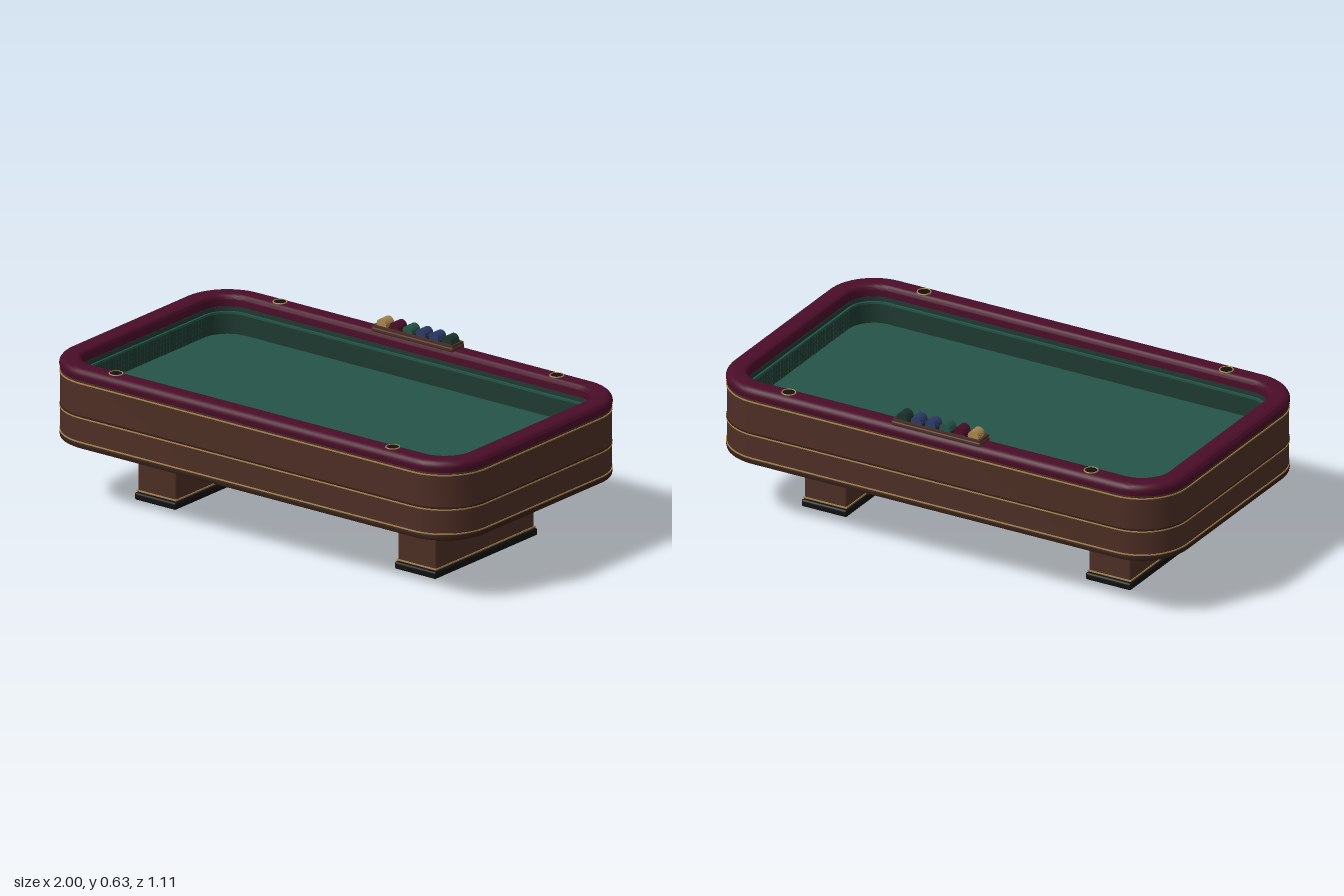
import * as THREE from 'three';
import { mergeGeometries, toCreasedNormals } from 'three/addons/utils/BufferGeometryUtils.js';
import { RoundedBoxGeometry } from 'three/addons/geometries/RoundedBoxGeometry.js';

const HX = 1, HZ = 0.556, R = 0.2, SEG = 14; // table outline: half sizes, corner radius, corner segments

const mat = (name, color) => Object.assign(new THREE.MeshStandardMaterial({ color }), { name });

// Corner points of the rounded outline, moved inwards by d
function outline(d) {
  const pts = [];
  [[1, 1], [-1, 1], [-1, -1], [1, -1]].forEach(([sx, sz], q) => {
    for (let k = 0; k <= SEG; k++) {
      const a = (q + k / SEG) * Math.PI / 2;
      pts.push([sx * (HX - R) + (R - d) * Math.cos(a), sz * (HZ - R) + (R - d) * Math.sin(a)]);
    }
  });
  return pts;
}

// Closed profile of [inset, y] points swept around the table outline
function sweep(profile) {
  const pos = [], idx = [], m = profile.length, n = 4 * (SEG + 1);
  for (const [d, y] of profile) for (const [x, z] of outline(d)) pos.push(x, y, z);
  for (let j = 0; j < m; j++) for (let i = 0; i < n; i++) {
    const j2 = (j + 1) % m, i2 = (i + 1) % n;
    const a = j * n + i, b = j2 * n + i, c = j2 * n + i2, e = j * n + i2;
    idx.push(a, b, c, a, c, e);
  }
  const g = new THREE.BufferGeometry();
  g.setAttribute('position', new THREE.Float32BufferAttribute(pos, 3));
  g.setIndex(idx);
  return toCreasedNormals(g, 0.7);
}

const band = (d0, d1, y0, y1) => sweep([[d0, y0], [d0, y1], [d1, y1], [d1, y0]]);

// Rows of small pyramids on the inner wall, pointing into the table
function pyramids(d, y0, rows, step) {
  const list = [], pts = outline(d), n = pts.length;
  for (let i = 0; i < n; i++) {
    const [x0, z0] = pts[i], [x1, z1] = pts[(i + 1) % n];
    const len = Math.hypot(x1 - x0, z1 - z0);
    if (len < 1e-6 || (len < step && i % 2)) continue;
    const count = Math.max(1, Math.round(len / step));
    const inward = Math.atan2(-(z1 - z0), x1 - x0) + Math.PI; // turns +z towards the middle
    for (let k = 0; k < count; k++) for (let r = 0; r < rows; r++) {
      const t = (k + 0.5) / count;
      const g = new THREE.ConeGeometry(step * 0.7, 0.012, 4, 1, true).toNonIndexed();
      g.rotateY(Math.PI / 4).rotateX(Math.PI / 2).rotateY(inward);
      g.translate(x0 + (x1 - x0) * t, y0 + r * step, z0 + (z1 - z0) * t);
      g.computeVertexNormals();
      list.push(g);
    }
  }
  return mergeGeometries(list);
}

export function createModel() {
  const root = new THREE.Group();
  root.name = 'gamingTable';
  const wood = mat('walnut', 0x4d2e24), darkWood = mat('dark walnut', 0x341d16);
  const leather = mat('burgundy leather', 0x4a0d28), felt = mat('green felt', 0x255449);
  const rubber = mat('dark green rubber', 0x1e3a31), gold = mat('brass', 0xa8874e);
  const black = mat('black', 0x121010), blue = mat('blue', 0x2c3a66), pine = mat('pine green', 0x1b332c);

  const add = (name, geo, material, x = 0, y = 0, z = 0, parent = root) => {
    const m = new THREE.Mesh(geo, material);
    m.name = name;
    m.position.set(x, y, z);
    parent.add(m);
    return m;
  };

  // Wooden body
  add('apron', band(0.004, 0.078, 0.275, 0.53), wood);
  add('bottomMoulding', sweep([[0.012, 0.255], [0.003, 0.26], [0.001, 0.27], [0.004, 0.28], [0.082, 0.28], [0.082, 0.255]]), darkWood);
  add('middleGroove', band(0.0025, 0.02, 0.384, 0.391), darkWood);
  for (const y of [0.283, 0.381, 0.52]) add('brassLine', band(0.001, 0.02, y - 0.0025, y + 0.0025), gold);

  // Padded rail with rounded edges
  const rail = [[0.006, 0.522]];
  for (let k = 0; k <= 6; k++) {
    const a = k / 6 * Math.PI / 2;
    rail.push([0.026 * (1 - Math.cos(a)), 0.549 + 0.027 * Math.sin(a)]);
  }
  for (let k = 0; k <= 6; k++) {
    const a = k / 6 * Math.PI / 2;
    rail.push([0.066 + 0.02 * Math.sin(a), 0.556 + 0.02 * Math.cos(a)]);
  }
  rail.push([0.086, 0.522]);
  add('rail', sweep(rail), leather);

  // Inner wall with bumper pyramids
  add('innerWall', band(0.07, 0.088, 0.4, 0.53), rubber);
  add('wallLedge', band(0.08, 0.096, 0.503, 0.512), felt);
  add('bumperPyramids', pyramids(0.088, 0.43, 4, 0.02), rubber);

  // Playing surface
  const shape = new THREE.Shape(outline(0.075).map(([x, z]) => new THREE.Vector2(x, z)));
  const bed = new THREE.ExtrudeGeometry(shape, { depth: 0.04, bevelEnabled: false });
  bed.rotateX(Math.PI / 2);
  add('playingSurface', bed, felt, 0, 0.42, 0);

  // Pedestal legs
  for (const s of [1, -1]) {
    const leg = new THREE.Group();
    leg.name = s > 0 ? 'leftLeg' : 'rightLeg';
    leg.position.x = s * 0.625;
    root.add(leg);
    add('pedestal', new RoundedBoxGeometry(0.184, 0.36, 0.606, 2, 0.008), wood, 0, 0.21, 0, leg);
    add('legTrim', new THREE.BoxGeometry(0.19, 0.006, 0.612), gold, 0, 0.036, 0, leg);
    add('foot', new RoundedBoxGeometry(0.2, 0.03, 0.632, 3, 0.009), black, 0, 0.015, 0, leg);
  }

  // Cup holders in the rail
  for (const x of [-0.665, 0.665]) for (const z of [-0.508, 0.503]) {
    add('cupWell', new THREE.CylinderGeometry(0.025, 0.025, 0.01, 24), black, x, 0.5725, z);
    add('cupRing', new THREE.TorusGeometry(0.026, 0.003, 8, 28).rotateX(Math.PI / 2), gold, x, 0.5765, z);
  }

  // Chip rack on the back rail
  const rack = new THREE.Group();
  rack.name = 'chipRack';
  rack.position.set(-0.003, 0, -0.509);
  root.add(rack);
  add('rackBase', new RoundedBoxGeometry(0.392, 0.018, 0.076, 2, 0.006), wood, 0, 0.58, 0, rack);
  add('rackTray', new THREE.BoxGeometry(0.374, 0.006, 0.058), black, 0, 0.588, 0, rack);
  for (const s of [1, -1]) {
    add('rackSide', new THREE.BoxGeometry(0.384, 0.012, 0.007), wood, 0, 0.592, s * 0.0305, rack);
    add('rackEnd', new THREE.BoxGeometry(0.007, 0.012, 0.068), wood, s * 0.1885, 0.592, 0, rack);
  }

  // Stacks of chips lying on edge
  [gold, leather, felt, blue, blue, pine].forEach((material, i) => {
    const chips = [];
    for (let k = 0; k < 8; k++) {
      chips.push(new THREE.CylinderGeometry(0.023, 0.023, 0.0048, 24).rotateX(Math.PI / 2).translate(0, 0, (k - 3.5) * 0.0064));
    }
    add('chipStack', mergeGeometries(chips), material, (i - 2.5) * 0.0627, 0.603, 0, rack);
  });
  return root;
}
